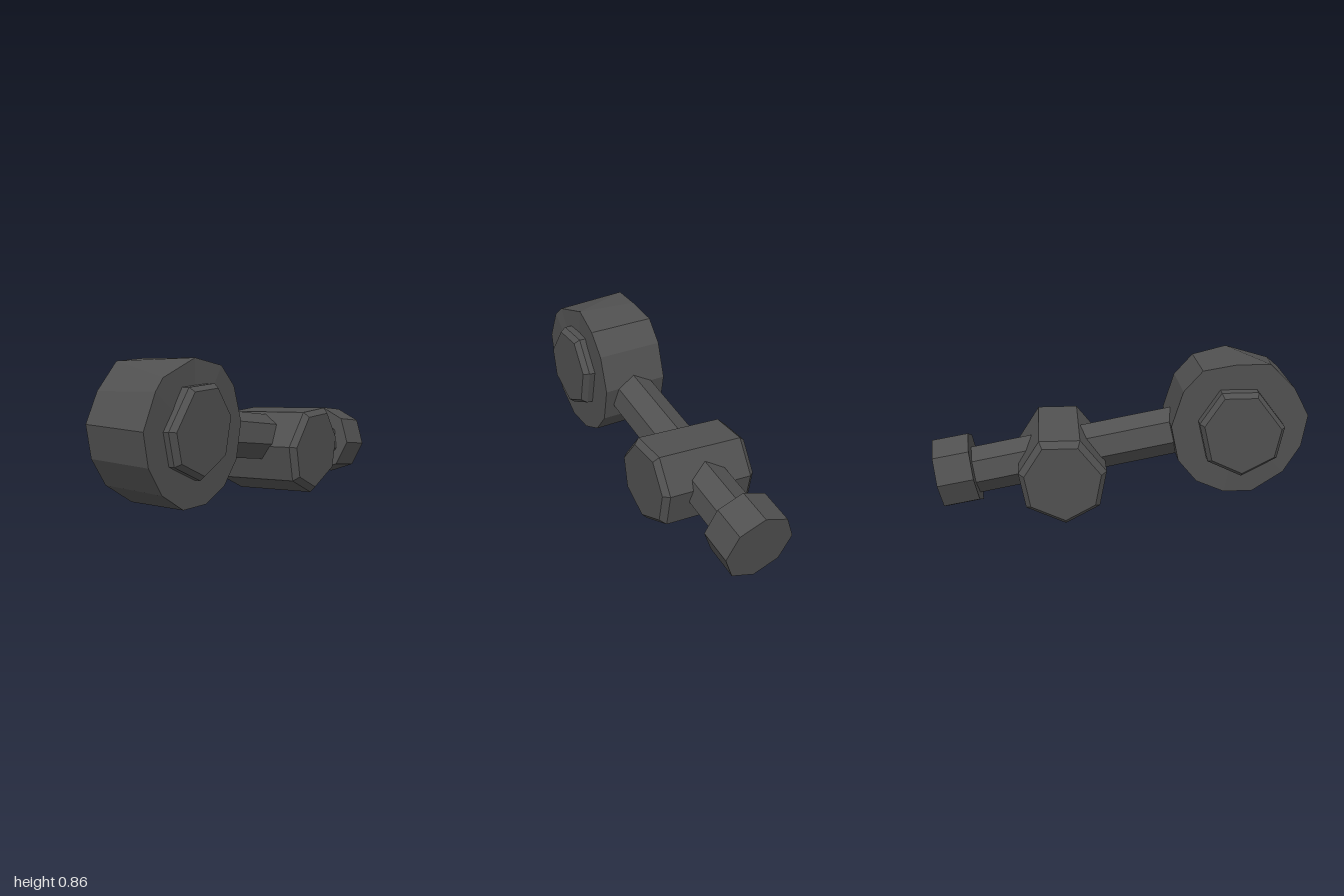
import * as THREE from 'three';

const darkMetal = new THREE.MeshStandardMaterial({ color: 0x505050, flatShading: true });
darkMetal.name = 'darkMetal';

// Joins rings of [x, y, z] points from -x to +x and closes both ends.
function loft(rings) {
  const pos = [];
  const tri = (...pts) => pts.forEach((p) => pos.push(...p));
  const n = rings[0].length;
  const centre = (ring) => [0, 1, 2].map((k) => ring.reduce((s, p) => s + p[k], 0) / n);
  const first = rings[0];
  const last = rings[rings.length - 1];
  const c0 = centre(first);
  const c1 = centre(last);
  for (let i = 0; i < n; i++) {
    const j = (i + 1) % n;
    for (let r = 0; r < rings.length - 1; r++) {
      const a = rings[r];
      const b = rings[r + 1];
      tri(a[i], b[i], b[j]);
      tri(a[i], b[j], a[j]);
    }
    tri(c0, first[i], first[j]);
    tri(c1, last[j], last[i]);
  }
  const geo = new THREE.BufferGeometry();
  geo.setAttribute('position', new THREE.Float32BufferAttribute(pos, 3));
  geo.computeVertexNormals();
  return geo;
}

// Bevelled crosswise drum: a [z, y] profile at several [x, scale] stations, sheared upward to +x.
function drum(profile, stations, slope) {
  const cz = profile.reduce((s, p) => s + p[0], 0) / profile.length;
  const cy = profile.reduce((s, p) => s + p[1], 0) / profile.length;
  return loft(stations.map(([x, k]) =>
    profile.map(([z, y]) => [x, cy + (y - cy) * k + slope * x, cz + (z - cz) * k])));
}

// Prism lying along z with one corner up, its +z end raised.
function prism(radius, length, sides, tilt, y, z) {
  return new THREE.CylinderGeometry(radius, radius, length, sides)
    .rotateX(-Math.PI / 2 - tilt).translate(0, y, z);
}

export function createModel() {
  const group = new THREE.Group();
  const add = (name, geo) => {
    const mesh = new THREE.Mesh(geo, darkMetal);
    mesh.name = name;
    group.add(mesh);
  };

  // Large head with slightly uneven rims, points as [z, y]
  const rim = [[0.61, 0.86], [0.43, 0.81], [0.33, 0.70], [0.27, 0.51], [0.31, 0.32],
    [0.41, 0.20], [0.56, 0.135], [0.73, 0.14], [0.88, 0.24], [0.97, 0.385],
    [1.0, 0.556], [0.914, 0.73], [0.85, 0.787]];
  const leftRim = rim.map(([z, y], i) => [i === 0 ? 0.162 : i === 12 ? 0.17 : 0.18, y, z]);
  const rightRim = rim.map(([z, y], i) => [i === 7 ? -0.168 : -0.186, y, z]);
  rightRim[0] = [-0.18, 0.838, 0.61];
  rightRim[7] = [-0.168, 0.127, 0.72];
  rightRim[11] = [-0.186, 0.705, 0.92];
  rightRim[12] = [-0.186, 0.838, 0.786];
  add('head', loft([rightRim, leftRim]));

  // Seven-sided hub passing through the head
  const hub = [[0.717, 0.718], [0.524, 0.718], [0.412, 0.553], [0.46, 0.345],
    [0.642, 0.258], [0.829, 0.355], [0.866, 0.525]];
  add('hub', drum(hub, [[-0.262, 0.9], [-0.235, 1], [0.212, 1], [0.242, 0.9]], 0.067));

  // Crosswise block in the middle of the shaft
  const block = [[-0.214, 0.484], [-0.428, 0.484], [-0.54, 0.31], [-0.503, 0.118],
    [-0.294, 0.021], [-0.112, 0.118], [-0.075, 0.31]];
  add('middleBlock', drum(block, [[-0.275, 0.87], [-0.24, 1], [0.245, 1], [0.275, 0.87]], 0.077));

  // Shaft and end cap
  add('shaft', prism(0.13, 1.35, 7, 0.184, 0.347, -0.16));
  add('endCap', prism(0.195, 0.195, 8, 0.175, 0.23, -0.872));

  return group;
}
